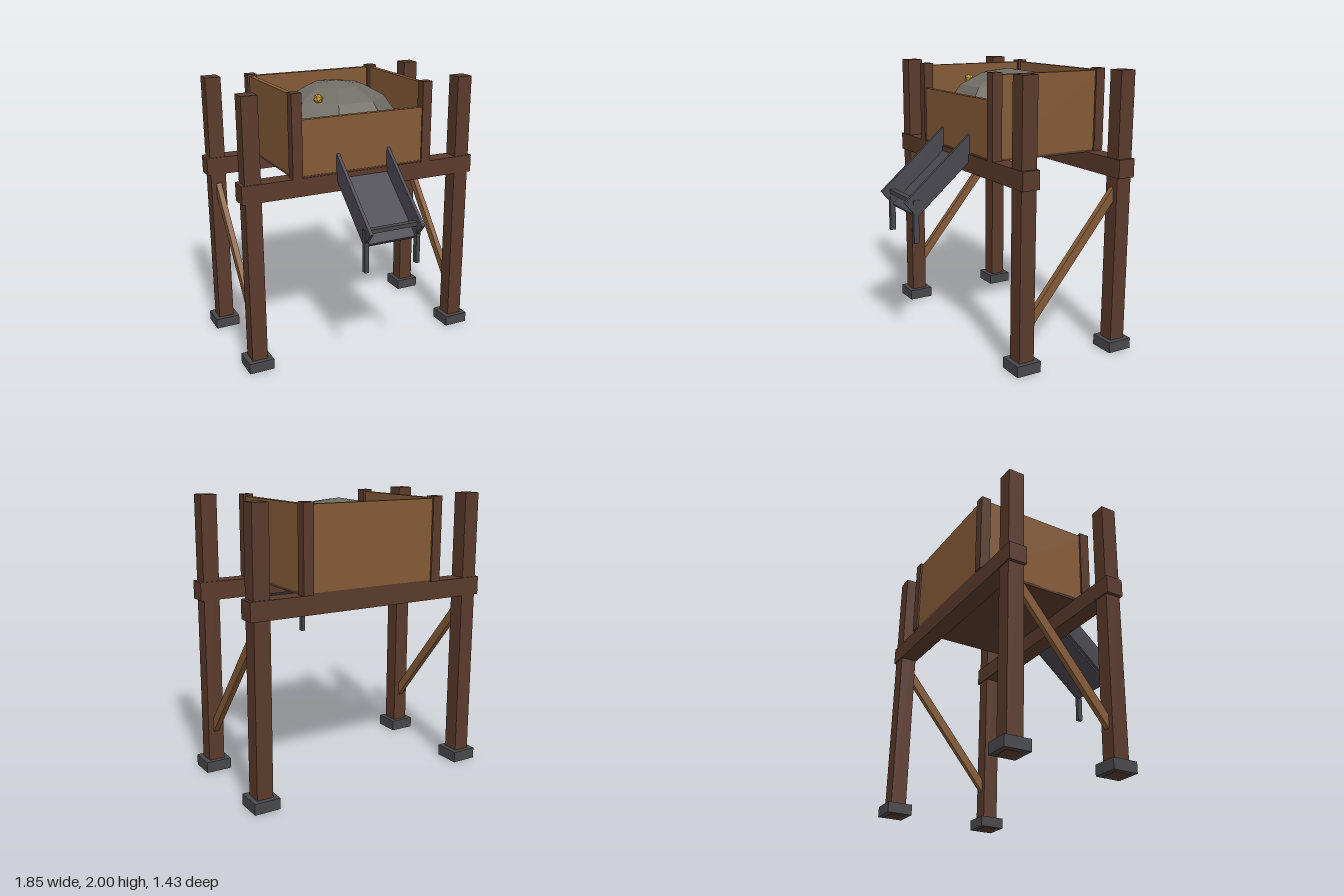
import * as THREE from 'three';

export function createModel() {
  const root = new THREE.Group();
  const mat = (name, color, flat = false) => {
    const m = new THREE.MeshStandardMaterial({ color, flatShading: flat });
    m.name = name;
    return m;
  };
  const darkWood = mat('dark wood', 0x5a3a2b);
  const plank = mat('plank wood', 0x845a36);
  const iron = mat('iron', 0x48484b);
  const steel = mat('chute steel', 0x4a4850);
  const rock = mat('ore rock', 0x706d65, true);
  const pebbleGrey = mat('pebble grey', 0x454545, true);
  const gold = mat('gold', 0xc8962a, true);

  const add = (name, geo, material, x, y, z, parent = root) => {
    const mesh = new THREE.Mesh(geo, material);
    mesh.name = name;
    mesh.position.set(x, y, z);
    parent.add(mesh);
    return mesh;
  };
  // box given by its extents
  const box = (name, material, x0, x1, y0, y1, z0, z1, parent = root) =>
    add(name, new THREE.BoxGeometry(x1 - x0, y1 - y0, z1 - z0), material,
      (x0 + x1) / 2, (y0 + y1) / 2, (z0 + z1) / 2, parent);

  const frontZ = 0.152, backZ = -0.625;

  // frame: four posts on iron feet, two long beams
  for (const z of [frontZ, backZ]) {
    for (const s of [-1, 1]) {
      const x = s * 0.832;
      box('post', darkWood, x - 0.058, x + 0.058, 0, 2, z - 0.058, z + 0.058);
      box('foot', iron, x - 0.093, x + 0.093, 0.002, 0.08, z - 0.093, z + 0.093);
    }
    box('beam', darkWood, -0.915, 0.915, 1.27, 1.4, z - 0.065, z + 0.065);
  }

  // diagonal braces on both sides
  for (const s of [-1, 1]) {
    const brace = add('brace', new THREE.BoxGeometry(0.04, 1.12, 0.064), plank, s * 0.832, 0.75, -0.24);
    brace.rotation.x = -0.689;
  }

  // hopper: floor, walls with a lower front, corner posts
  box('hopperFloor', darkWood, -0.53, 0.53, 1.395, 1.412, -0.69, 0.21);
  box('hopperFrontWall', plank, -0.49, 0.49, 1.412, 1.805, 0.17, 0.208);
  box('hopperBackWall', plank, -0.49, 0.49, 1.412, 1.975, -0.69, -0.65);
  for (const s of [-1, 1]) {
    add('hopperSideWall', new THREE.BoxGeometry(0.04, 0.563, 0.9), plank, s * 0.511, 1.6935, -0.24);
    for (const z of [0.183, -0.666])
      add('hopperCorner', new THREE.BoxGeometry(0.074, 0.59, 0.074), darkWood, s * 0.509, 1.695, z);
  }

  // faceted ore heap, eight sides, open underneath
  const heap = new THREE.SphereGeometry(0.455, 8, 3, Math.PI / 8, Math.PI * 2, 0, Math.PI * 3 / 7);
  heap.scale(1, 0.67, 1);
  add('oreHeap', heap, rock, 0, 1.665, -0.24);
  add('goldNugget', new THREE.IcosahedronGeometry(0.036, 0), gold, -0.235, 1.885, -0.037).rotation.set(0.3, 0.5, 0.2);
  const pebble = add('pebble', new THREE.DodecahedronGeometry(0.026, 0), pebbleGrey, 0.027, 1.915, -0.485);
  pebble.scale.set(1, 0.7, 0.75);

  // sloping chute: tray and two rails in one tilted group
  const chute = new THREE.Group();
  chute.name = 'chute';
  chute.position.set(0, 1.295, 0.383);
  chute.rotation.x = 0.71;
  root.add(chute);
  box('chuteBed', steel, -0.187, 0.187, -0.086, -0.056, -0.375, 0.375, chute);
  for (const s of [-1, 1])
    add('chuteRail', new THREE.BoxGeometry(0.024, 0.145, 0.75), steel, s * 0.199, 0, 0, chute);

  // chute support
  box('chuteCrossbar', iron, -0.218, 0.218, 1.088, 1.117, 0.608, 0.652);
  for (const s of [-1, 1])
    add('chuteLeg', new THREE.BoxGeometry(0.03, 0.28, 0.04), iron, s * 0.2, 0.95, 0.63);

  return root;
}
